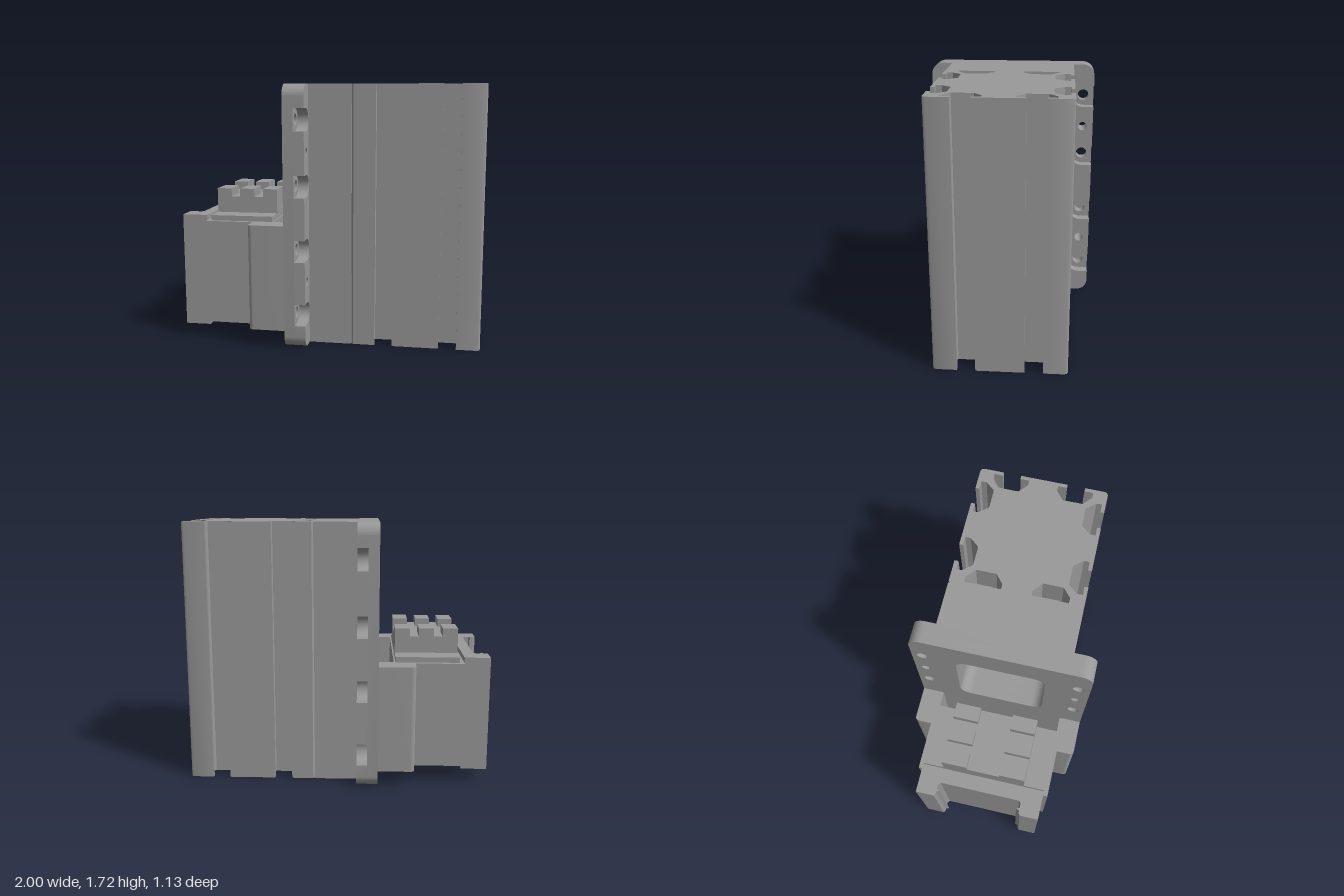
import * as THREE from 'three';
import { toCreasedNormals } from 'three/addons/utils/BufferGeometryUtils.js';

const H = 1.72;

export function createModel() {
  const root = new THREE.Group();
  const grey = new THREE.MeshStandardMaterial({ color: 0x999999 });
  grey.name = 'aluminium grey';

  const add = (name, geometry) => {
    const mesh = new THREE.Mesh(geometry, grey);
    mesh.name = name;
    root.add(mesh);
    return mesh;
  };
  const box = (name, x0, x1, y0, y1, z0, z1) => {
    const g = new THREE.BoxGeometry(x1 - x0, y1 - y0, z1 - z0);
    g.translate((x0 + x1) / 2, (y0 + y1) / 2, (z0 + z1) / 2);
    return add(name, g);
  };
  const extrude = (shape, depth) =>
    new THREE.ExtrudeGeometry(shape, { depth, bevelEnabled: false, curveSegments: 10 });
  // shape drawn in (z, y), swept along x
  const alongX = (name, shape, x0, x1) => {
    const g = extrude(shape, x1 - x0).rotateY(Math.PI / 2).translate(x0, 0, 0);
    return add(name, toCreasedNormals(g, 0.6));
  };
  // shape drawn in (x, -z), swept along y
  const alongY = (name, shape, y0, y1) => {
    const g = extrude(shape, y1 - y0).rotateX(-Math.PI / 2).translate(0, y0, 0);
    return add(name, toCreasedNormals(g, 0.6));
  };
  const fromPoints = (pts) => new THREE.Shape(pts.map(([x, y]) => new THREE.Vector2(x, y)));

  const roundRect = (path, a0, a1, b0, b1, r) => {
    path.moveTo(a0 + r, b0);
    path.lineTo(a1 - r, b0);
    path.absarc(a1 - r, b0 + r, r, -Math.PI / 2, 0);
    path.absarc(a1 - r, b1 - r, r, 0, Math.PI / 2);
    path.absarc(a0 + r, b1 - r, r, Math.PI / 2, Math.PI);
    path.absarc(a0 + r, b0 + r, r, Math.PI, Math.PI * 1.5);
    return path;
  };
  const windowHole = () => roundRect(new THREE.Path(), -0.285, 0.285, 0.94, 1.51, 0.08);
  const circle = (z, y, r) => new THREE.Path().absarc(z, y, r, 0, Math.PI * 2, true);
  const bigHoles = [0.225, 0.65, 1.07, 1.495];
  const smallHoles = [0.435, 1.285];

  // Flange, rear layer: plain rounded plate with all screw holes
  const rear = roundRect(new THREE.Shape(), -0.565, 0.565, 0, H, 0.08);
  rear.holes.push(windowHole());
  for (const s of [-1, 1]) {
    for (const y of bigHoles) rear.holes.push(circle(s * 0.493, y, 0.038));
    for (const y of smallHoles) rear.holes.push(circle(s * 0.493, y, 0.03));
  }
  alongX('flangeRear', rear, -0.27, -0.2);

  // Flange, front layer: U-shaped screw-head recesses open to the sides
  const front = new THREE.Shape();
  const R = 0.072, r = 0.08, W = 0.565;
  front.moveTo(-W + r, 0);
  front.lineTo(W - r, 0);
  front.absarc(W - r, r, r, -Math.PI / 2, 0);
  for (const y of bigHoles) {
    front.lineTo(W, y - R);
    front.absarc(0.493, y, R, -Math.PI / 2, Math.PI / 2, true);
    front.lineTo(W, y + R);
  }
  front.absarc(W - r, H - r, r, 0, Math.PI / 2);
  front.absarc(-W + r, H - r, r, Math.PI / 2, Math.PI);
  for (const y of [...bigHoles].reverse()) {
    front.lineTo(-W, y + R);
    front.absarc(-0.493, y, R, Math.PI / 2, -Math.PI / 2, true);
    front.lineTo(-W, y - R);
  }
  front.absarc(-W + r, r, r, Math.PI, Math.PI * 1.5);
  front.holes.push(windowHole());
  for (const s of [-1, 1])
    for (const y of smallHoles) front.holes.push(circle(s * 0.493, y, 0.03));
  alongX('flangeFront', front, -0.2, -0.13);

  // Hollow body between flange and slotted profile
  const body = fromPoints([[-0.42, 0], [0.42, 0], [0.42, H], [-0.42, H]]);
  body.holes.push(windowHole());
  alongX('body', body, -0.13, 0.13);
  box('bodyEnd', 0.13, 0.152, 0, H, -0.42, 0.42);

  // T-slotted profile: each slot is given as [offset along side, depth]
  const halfSlot = [[0.0575, 0], [0.0575, 0.025], [0.115, 0.025], [0.115, 0.06], [0.065, 0.12]];
  const slot = [
    ...halfSlot.map(([o, d]) => [-o, d]),
    ...halfSlot.map(([o, d]) => [o, d]).reverse(),
  ];
  const X0 = 0.152, X1 = 1, Z = 0.42, c = 0.012, k = 0.022;
  const pts = [[X0 + c, -Z]];
  for (const x of [0.365, 0.7875]) for (const [o, d] of slot) pts.push([x + o, -Z + d]);
  pts.push([X1 - k, -Z], [X1 - k * 0.3, -Z + k * 0.3], [X1, -Z + k]);
  for (const z of [-0.21, 0.21]) for (const [o, d] of slot) pts.push([X1 - d, z + o]);
  pts.push([X1, Z - k], [X1 - k * 0.3, Z - k * 0.3], [X1 - k, Z]);
  for (const x of [0.7875, 0.365]) for (const [o, d] of slot) pts.push([x - o, Z - d]);
  pts.push([X0 + c, Z], [X0, Z - c]);
  for (const z of [0.21, -0.21]) for (const [o, d] of slot) pts.push([X0 + d, z - o]);
  pts.push([X0, -Z + c]);
  alongY('slottedProfile', fromPoints(pts), 0, H);
  // Keys of the body sitting in the inner slots
  for (const s of [-1, 1]) box('slotKey', 0.15, 0.18, 0, H, s * 0.21 - 0.0575, s * 0.21 + 0.0575);

  // Side cheeks joining the flange to the rear housing
  for (const s of [-1, 1]) {
    const a = s * 0.42, b = s * 0.565, q = 0.03;
    const cheek = new THREE.Shape();
    cheek.moveTo(-0.27, a);
    cheek.lineTo(-0.27, b);
    cheek.lineTo(-0.51 + q, b);
    cheek.quadraticCurveTo(-0.51, b, -0.51, b - s * q);
    cheek.lineTo(-0.51, a);
    alongY('sideCheek', cheek, 0.115, 0.815);
  }
  // Underside skin between the housing and the flange
  add('undersideSkin', new THREE.PlaneGeometry(0.1, 0.84).rotateX(Math.PI / 2).translate(-0.32, 0.115, 0));

  // Rear housing
  box('housing', -0.84, -0.37, 0.115, 0.815, -0.42, 0.42);
  box('housingWide', -0.83, -0.51, 0.115, 0.815, -0.45, 0.45);

  // End bracket: channel open to the rear with small ribs inside
  const arm = [
    [-1, 0.42], [-1, 0.295], [-0.985, 0.285], [-0.97, 0.285],
    [-0.96, 0.262], [-0.95, 0.285], [-0.92, 0.285], [-0.905, 0.27],
  ];
  const bracket = fromPoints([
    [-0.83, -0.42], [-0.83, 0.42], ...arm,
    ...[...arm].reverse().map(([x, z]) => [x, -z]),
  ]);
  alongY('endBracket', bracket, 0.085, 0.85);

  // Terminal block on top of the housing
  box('terminalBase', -0.8, -0.38, 0.81, 0.85, -0.42, 0.42);
  box('terminalBody', -0.8, -0.38, 0.85, 0.96, -0.28, 0.28);
  for (const x of [-0.75, -0.59, -0.43])
    for (const s of [-1, 1])
      box('terminalTooth', x - 0.05, x + 0.05, 0.955, 1.015, s * 0.195 - 0.085, s * 0.195 + 0.085);

  return root;
}
